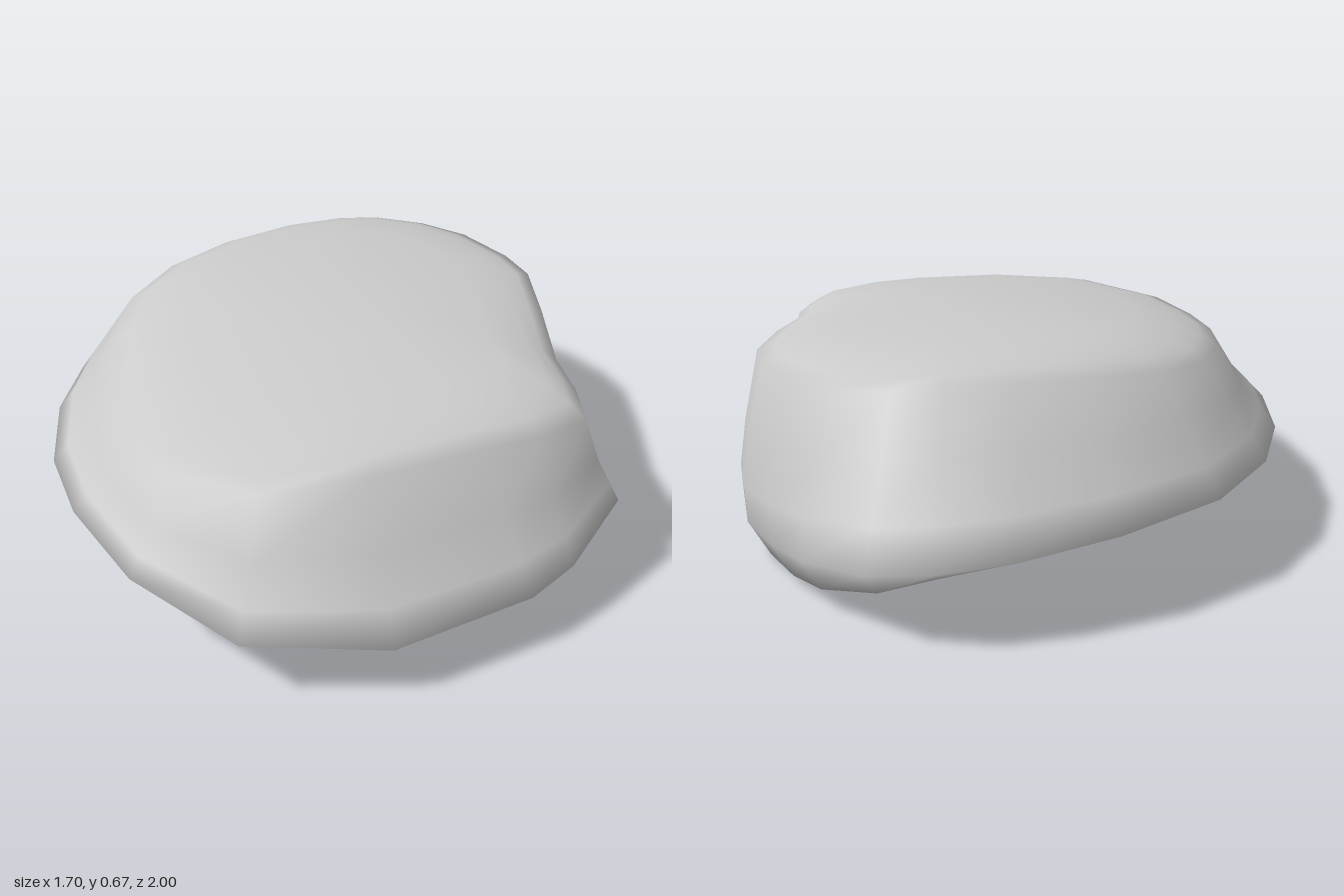
import * as THREE from 'three';

const { lerp, smoothstep } = THREE.MathUtils;

// Widest outline of the stone, [x, y, z], counterclockwise from the front tip
const rim = [
  [-0.2, 0.175, 1], [0.24, 0.18, 0.95], [0.4, 0.2, 0.89], [0.61, 0.29, 0.77],
  [0.63, 0.28, 0.6], [0.645, 0.23, 0.46], [0.75, 0.17, 0.2], [0.84, 0.13, -0.07],
  [0.845, 0.12, -0.25], [0.8, 0.15, -0.5], [0.74, 0.18, -0.7], [0.61, 0.22, -0.92],
  [0.45, 0.24, -1], [0.23, 0.25, -1], [-0.05, 0.27, -0.95], [-0.38, 0.28, -0.8],
  [-0.61, 0.29, -0.58], [-0.75, 0.3, -0.33], [-0.84, 0.3, -0.03], [-0.85, 0.3, 0.25],
  [-0.78, 0.27, 0.57], [-0.58, 0.21, 0.87],
].map((p) => new THREE.Vector3(...p));

// Upper shoulder, one point above each rim point
const shoulder = [
  [-0.15, 0.55, 0.75], [0.18, 0.55, 0.74], [0.36, 0.54, 0.73], [0.54, 0.52, 0.67],
  [0.59, 0.53, 0.53], [0.61, 0.55, 0.38], [0.7, 0.58, 0.13], [0.78, 0.59, -0.1],
  [0.78, 0.59, -0.25], [0.72, 0.6, -0.44], [0.63, 0.6, -0.58], [0.49, 0.61, -0.67],
  [0.36, 0.62, -0.69], [0.18, 0.62, -0.7], [-0.06, 0.61, -0.67], [-0.28, 0.59, -0.6],
  [-0.46, 0.57, -0.46], [-0.58, 0.55, -0.25], [-0.66, 0.53, 0], [-0.68, 0.52, 0.22],
  [-0.65, 0.52, 0.48], [-0.46, 0.54, 0.71],
].map((p) => new THREE.Vector3(...p));

const topCentre = new THREE.Vector3(0.1, 0.657, 0);
const bottomCentre = new THREE.Vector3(0.05, 0.11, 0.05);

// Height of the gently domed top, falling towards the front
const topHeight = (v) => 0.677 - 0.06 * Math.max(0, v.z + 0.3) - 0.12 * (v.x - 0.15) ** 2;

// Ring between an outline and another outline or a point, adjusted by a rule
const blend = (a, b, t, rule) => a.map((p, i) => {
  const v = p.clone().lerp(Array.isArray(b) ? b[i] : b, t);
  rule(v, p);
  return v;
});

// Underside edge: undercut at the front left corner, dropping below the heavy left flank
const under = rim.map((p) => {
  const corner = p.x > 0.5 && p.z > 0.4;
  const v = p.clone().lerp(bottomCentre, corner ? 0.17 : 0.08);
  v.y = corner ? 0.14 : p.y - 0.04 - 0.08 * smoothstep(p.x, 0.35, 0.82);
  return v;
});

// Belly hangs a little on the right
const belly = (t) => blend(under, bottomCentre, t, (v) => {
  v.y -= 0.05 * smoothstep(-v.x, 0.2, 0.6);
});

// Wall: hollow at the front and sides, bulging on the left flank
const wall = (t, hollow) => blend(rim, shoulder, t, (v) => {
  v.y -= hollow * smoothstep(v.z, -0.6, 0);
  v.x += 0.02 * smoothstep(v.x, 0.65, 0.8);
});

// Top: rounds over from the shoulder to the dome
const dome = (t, rise) => blend(shoulder, topCentre, t, (v, p) => {
  v.y = lerp(p.y, topHeight(v), rise);
});

function stoneGeometry() {
  const rings = [
    belly(0.97), belly(0.65), belly(0.3), under, rim,
    wall(0.25, 0.01), wall(0.6, 0.025), shoulder,
    dome(0.07, 0.4), dome(0.16, 0.75), dome(0.35, 0.96), dome(0.7, 1),
  ];
  const n = rim.length;
  const points = [...rings.flat(), bottomCentre, topCentre];
  const bottom = points.length - 2, top = points.length - 1;
  const last = (rings.length - 1) * n;
  const index = [];
  for (let c = 0; c < n; c++) {
    const d = (c + 1) % n;
    for (let r = 0; r < last; r += n) {
      index.push(r + c, r + d, r + n + d, r + c, r + n + d, r + n + c);
    }
    index.push(bottom, d, c, top, last + c, last + d);
  }
  const geometry = new THREE.BufferGeometry().setFromPoints(points);
  geometry.setIndex(index);
  geometry.computeVertexNormals();
  return geometry;
}

export function createModel() {
  const group = new THREE.Group();
  group.name = 'rock';
  const stone = new THREE.Mesh(
    stoneGeometry(),
    new THREE.MeshStandardMaterial({ color: 0xcccccc }),
  );
  stone.name = 'stone';
  group.add(stone);
  return group;
}
